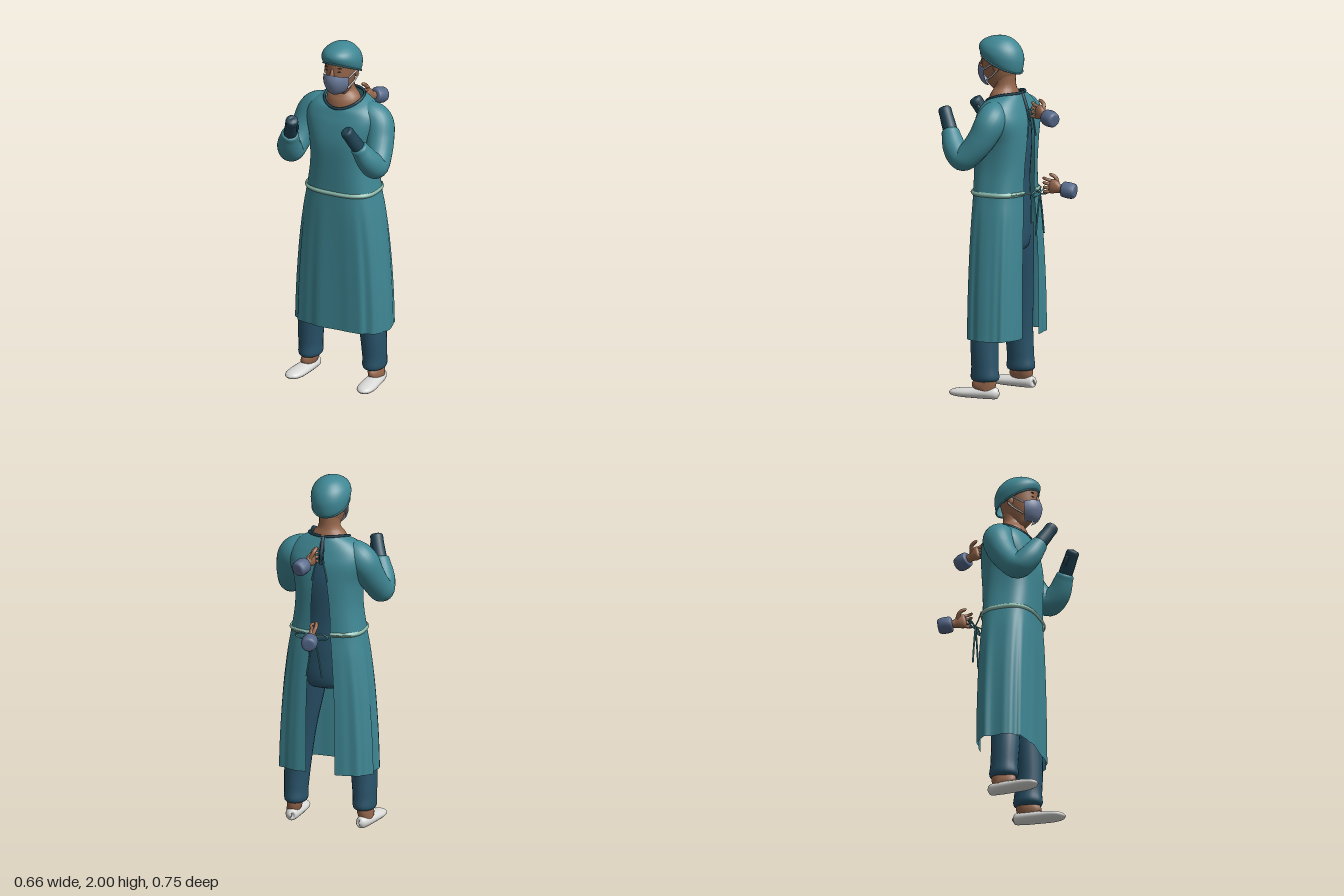
import * as THREE from 'three';

const paint = (name, color, side = THREE.FrontSide) => {
  const m = new THREE.MeshStandardMaterial({ color, side });
  m.name = name;
  return m;
};

// Catmull-Rom through rows of numbers
function spline(keys, n) {
  const rows = [], last = keys.length - 1;
  for (let i = 0; i <= n; i++) {
    const t = (i / n) * last, j = Math.min(Math.floor(t), last - 1), f = t - j;
    const a = keys[Math.max(j - 1, 0)], b = keys[j], c = keys[j + 1], d = keys[Math.min(j + 2, last)];
    rows.push(b.map((v, k) => v + 0.5 * f * (c[k] - a[k] + f * (2 * a[k] - 5 * v + 4 * c[k] - d[k]
      + f * (3 * (v - c[k]) + d[k] - a[k])))));
  }
  return rows;
}

// Surface through rings of points
function skin(rings, closed) {
  const m = rings[0].length, index = [];
  for (let i = 0; i < rings.length - 1; i++) {
    for (let j = 0; j < (closed ? m : m - 1); j++) {
      const k = (j + 1) % m, p = i * m, q = p + m;
      index.push(p + j, p + k, q + k, p + j, q + k, q + j);
    }
  }
  const g = new THREE.BufferGeometry();
  g.setAttribute('position', new THREE.Float32BufferAttribute(rings.flat(2), 3));
  g.setIndex(index);
  g.computeVertexNormals();
  return g;
}

// Elliptical sweep; keys are [x, y, z, radiusA, radiusB]
function sweep(keys, ref = [0, 0, 1], sides = 20, n = keys.length * 6) {
  const rows = spline(keys, n), R = new THREE.Vector3(...ref);
  return skin(rows.map((r, i) => {
    const p = rows[Math.max(i - 1, 0)], q = rows[Math.min(i + 1, n)];
    const T = new THREE.Vector3(q[0] - p[0], q[1] - p[1], q[2] - p[2]).normalize();
    const A = R.clone().cross(T).normalize(), B = T.clone().cross(A);
    return Array.from({ length: sides }, (_, j) => {
      const w = (j / sides) * Math.PI * 2;
      return new THREE.Vector3(r[0], r[1], r[2])
        .addScaledVector(A, Math.max(r[3], 0) * Math.cos(w))
        .addScaledVector(B, Math.max(r[4], 0) * Math.sin(w)).toArray();
    });
  }), true);
}

const cord = (pts, r, ref) => sweep(pts.map(p => [...p, r, r]), ref, 6);
const mirror = (s, keys) => keys.map(([x, ...rest]) => [s * x, ...rest]);

// Cloth open at the back; keys are [y, rx, rz, cz, halfGap, frontDrop, fold, roundness]
function cloth(keys, n, sides = 120) {
  return skin(spline(keys, n).map(([y, rx, rz, cz, gap, drop, fold, round]) => {
    const bend = v => Math.sign(v) * Math.abs(v) ** round;
    const a0 = Math.asin((gap / rx) ** (1 / round));
    return Array.from({ length: sides + 1 }, (_, j) => {
      const a = a0 + (2 * Math.PI - 2 * a0) * j / sides;
      const f = 1 + fold * (Math.sin(11 * a) + 0.6 * Math.sin(19 * a + 1));
      return [-rx * f * bend(Math.sin(a)), y - drop * ((1 - Math.cos(a)) / 2) ** 2, cz - rz * f * bend(Math.cos(a))];
    });
  }), false);
}

export function createModel() {
  const model = new THREE.Group();
  const teal = paint('gown teal', 0x3f8794, THREE.DoubleSide);
  const scrubs = paint('scrubs blue', 0x29536a);
  const dark = paint('glove navy', 0x1f4253);
  const flesh = paint('skin brown', 0x96674c);
  const maskBlue = paint('mask blue', 0x6c7c9c, THREE.DoubleSide);
  const cuffBlue = paint('cuff blue', 0x56698a);
  const white = paint('shoe white', 0xdadad8);
  const sage = paint('tie sage', 0x8dbcae, THREE.DoubleSide);
  const brown = paint('brow brown', 0x5a3c2c);
  const add = (name, geo, mat, parent = model) => {
    const mesh = new THREE.Mesh(geo, mat);
    mesh.name = name;
    parent.add(mesh);
  };
  const ball = (name, mat, pos, size) =>
    add(name, new THREE.SphereGeometry(1, 16, 12).scale(...size).translate(...pos), mat);

  // Gown, belt and collar
  add('gown', cloth([
    [0.33, 0.277, 0.153, 0.05, 0.085, 0, 0.02, 0.64], [0.55, 0.269, 0.153, 0.05, 0.085, 0, 0.018, 0.64],
    [0.8, 0.251, 0.152, 0.051, 0.08, 0, 0.013, 0.65], [1.0, 0.227, 0.15, 0.053, 0.068, 0, 0.006, 0.67],
    [1.13, 0.205, 0.147, 0.055, 0.058, 0, 0, 0.7], [1.28, 0.183, 0.152, 0.055, 0.054, 0, 0, 0.72],
    [1.42, 0.187, 0.157, 0.053, 0.042, 0, 0, 0.72], [1.53, 0.216, 0.146, 0.045, 0.025, 0, 0, 0.74],
    [1.6, 0.208, 0.127, 0.045, 0.016, 0.01, 0, 0.78], [1.655, 0.165, 0.112, 0.05, 0.011, 0.035, 0, 0.86],
    [1.69, 0.112, 0.104, 0.055, 0.008, 0.064, 0, 1],
  ], 60), teal);
  add('belt', cloth([[1.126, 0.208, 0.152, 0.056, 0.058, 0, 0, 0.7], [1.139, 0.215, 0.16, 0.056, 0.058, 0, 0, 0.7],
    [1.152, 0.208, 0.152, 0.056, 0.058, 0, 0, 0.7]], 6), sage);
  const collar = [];
  for (let i = 0; i <= 32; i++) {
    const a = 0.08 + (Math.PI * 2 - 0.16) * i / 32;
    collar.push([0.112 * Math.sin(a), 1.692 - 0.064 * ((1 - Math.cos(a)) / 2) ** 2, 0.055 - 0.104 * Math.cos(a)]);
  }
  add('collar', cord(collar, 0.008, [0, 1, 0]), dark);
  add('backEdging', cord([[0, 1.69, -0.044], [0, 1.655, -0.06], [0, 1.6, -0.078], [0, 1.54, -0.085]], 0.011), dark);

  // Scrubs torso, seen through the open back
  add('scrubsTorso', sweep([[0, 0.8, 0.055, 0, 0], [0, 0.82, 0.055, 0.16, 0.11], [0, 1.0, 0.055, 0.185, 0.125],
    [0, 1.2, 0.055, 0.165, 0.122], [0, 1.42, 0.05, 0.17, 0.13], [0, 1.56, 0.045, 0.16, 0.11],
    [0, 1.62, 0.04, 0.11, 0.085], [0, 1.625, 0.04, 0, 0]], [0, 0, 1], 28), scrubs);

  // Neck, head and face
  add('neck', sweep([[0, 1.6, 0.06, 0.1, 0.09], [0, 1.65, 0.06, 0.102, 0.084], [0, 1.685, 0.058, 0.092, 0.072],
    [0, 1.715, 0.058, 0.066, 0.061], [0, 1.75, 0.06, 0.058, 0.06], [0, 1.82, 0.06, 0.06, 0.062]]), flesh);
  add('head', sweep([[0, 1.715, 0.14, 0, 0], [0, 1.722, 0.137, 0.03, 0.042], [0, 1.745, 0.115, 0.055, 0.078],
    [0, 1.79, 0.1, 0.072, 0.098], [0, 1.85, 0.092, 0.084, 0.107], [0, 1.9, 0.085, 0.088, 0.113],
    [0, 1.95, 0.083, 0.075, 0.095], [0, 1.98, 0.083, 0, 0]], [0, 0, 1], 32), flesh);
  add('nose', sweep([[0, 1.878, 0.186, 0.007, 0.01], [0, 1.85, 0.2, 0.011, 0.012],
    [0, 1.82, 0.206, 0.016, 0.012]]), flesh);
  for (const s of [-1, 1]) {
    ball('ear', flesh, [s * 0.084, 1.832, 0.07], [0.01, 0.026, 0.018]);
    ball('eye', brown, [s * 0.034, 1.86, 0.183], [0.012, 0.005, 0.008]);
    ball('brow', brown, [s * 0.036, 1.882, 0.184], [0.018, 0.003, 0.008]);
    add('maskStrap', cord([[s * 0.076, 1.818, 0.145], [s * 0.091, 1.842, 0.105], [s * 0.095, 1.858, 0.07]], 0.005), white);
    add('maskStrap', cord([[s * 0.066, 1.755, 0.14], [s * 0.082, 1.785, 0.095], [s * 0.092, 1.82, 0.06]], 0.005), white);
  }

  // Face mask
  add('faceMask', skin(spline([[1.72, 0.036, 0.07], [1.74, 0.06, 0.092], [1.78, 0.078, 0.108],
    [1.815, 0.083, 0.11], [1.843, 0.082, 0.101]], 12).map(([y, rx, rz]) => Array.from({ length: 25 }, (_, j) => {
    const a = -1.24 + 2.48 * j / 24;
    return [rx * Math.sin(a), y - 0.03 * (1 - Math.cos(a)) * (y - 1.72) / 0.12, 0.113 + rz * Math.cos(a)];
  })), false), maskBlue);

  // Cap with a rim that dips at the nape
  const around = (h, s) => Array.from({ length: 40 }, (_, j) => {
    const a = j / 40 * Math.PI * 2, c = Math.cos(a), y = 1.852 + 0.055 * c;
    return [0.109 * s * Math.sin(a), y + (2 - y) * h, 0.082 + 0.129 * s * c];
  });
  const dome = [[0, 0.91], [0.16, 0.98], [0.4, 1], [0.65, 0.88], [0.86, 0.6], [0.97, 0.28], [1, 0]];
  add('cap', skin(spline(dome, 30).map(([h, s]) => around(h, s)), true), teal);
  const rim = around(0, 0.925);
  add('capRim', cord([...rim, rim[0]], 0.005, [0, 1, 0]), teal);

  for (const s of [-1, 1]) {
    // Sleeve and gloved hand
    add('sleeve', sweep(mirror(s, [[0.09, 1.59, 0.045, 0.055, 0.055], [0.155, 1.582, 0.04, 0.077, 0.077],
      [0.205, 1.54, 0.04, 0.085, 0.085], [0.232, 1.46, 0.073, 0.079, 0.079], [0.253, 1.385, 0.125, 0.072, 0.072],
      [0.262, 1.343, 0.18, 0.07, 0.07], [0.25, 1.39, 0.235, 0.066, 0.066], [0.226, 1.455, 0.272, 0.053, 0.053],
      [0.214, 1.485, 0.287, 0.043, 0.043], [0.213, 1.487, 0.288, 0, 0]]), [s, 1, 0], 24), teal);
    add('glove', sweep(mirror(s, [[0.222, 1.465, 0.275, 0.038, 0.038], [0.205, 1.505, 0.298, 0.041, 0.037],
      [0.185, 1.555, 0.326, 0.038, 0.035], [0.17, 1.594, 0.347, 0.034, 0.033],
      [0.168, 1.6, 0.35, 0, 0]]), [s, 0, 0], 10), dark);
    add('gloveThumb', sweep(mirror(s, [[0.19, 1.5, 0.29, 0.014, 0.014], [0.166, 1.53, 0.304, 0.014, 0.014],
      [0.156, 1.56, 0.322, 0.011, 0.011], [0.155, 1.57, 0.327, 0, 0]]), [0, 0, 1], 10), dark);
    // Trouser leg
    add('trouserLeg', sweep(mirror(s, [[0.095, 0.95, 0.055, 0.09, 0.11], [0.12, 0.8, 0.06, 0.093, 0.105],
      [0.165, 0.55, 0.072, 0.082, 0.088], [0.192, 0.33, 0.08, 0.074, 0.08], [0.2, 0.18, 0.075, 0.066, 0.078],
      [0.2, 0.105, 0.073, 0.059, 0.078], [0.2, 0.095, 0.073, 0, 0]])), scrubs);
    // Foot and slip-on shoe
    add('foot', sweep(mirror(s, [[0.2, 0.14, 0.05, 0.04, 0.045], [0.205, 0.09, 0.055, 0.04, 0.052],
      [0.211, 0.06, 0.08, 0.037, 0.072], [0.212, 0.04, 0.09, 0.03, 0.06]])), flesh);
    add('shoe', sweep(mirror(s, [[0.2, 0.034, -0.01, 0, 0], [0.202, 0.034, -0.005, 0.026, 0.029],
      [0.208, 0.033, 0.04, 0.041, 0.033], [0.215, 0.03, 0.13, 0.049, 0.03], [0.222, 0.027, 0.21, 0.051, 0.026],
      [0.228, 0.025, 0.262, 0.035, 0.017], [0.23, 0.023, 0.285, 0, 0]]), [0, 1, 0]), white);
    // Ties drawn back from the belt, with loops and tails
    add('beltTie', cord([[s * 0.17, 1.14, -0.07], [s * 0.09, 1.14, -0.112], [0.005, 1.145, -0.165]], 0.004, [0, 1, 0]), sage);
    add('bowLoop', cord([[0.02, 1.145, -0.17], [0.02 + s * 0.05, 1.165, -0.178], [0.02 + s * 0.095, 1.15, -0.176],
      [0.02 + s * 0.06, 1.13, -0.174], [0.02, 1.14, -0.17]], 0.005), teal);
    add('beltTail', cord([[0.01, 1.145, -0.166], [0.01 + s * 0.025, 1.03, -0.166], [0.01 + s * 0.045, 0.91, -0.166]], 0.005), teal);
    add('neckTie', cord([[s * 0.015, 1.6, -0.09], [s * 0.012, 1.58, -0.104], [s * 0.03, 1.52, -0.106],
      [s * 0.045, 1.45, -0.109]], 0.004), teal);
  }

  // Helping hands behind, each with a cuff
  const helper = (name, at, target) => {
    const hand = new THREE.Group();
    hand.name = name;
    add('cuff', sweep([[0, 0, -0.042, 0, 0], [0, 0, -0.04, 0.034, 0.034], [0, 0, -0.018, 0.045, 0.045],
      [0, 0, 0.02, 0.045, 0.045], [0, 0, 0.038, 0.036, 0.036], [0, 0, 0.04, 0, 0]], [0, 1, 0], 12), cuffBlue, hand);
    add('palm', sweep([[0, 0, 0.03, 0.022, 0.024], [0, 0, 0.055, 0.019, 0.025], [0, 0.005, 0.085, 0.02, 0.04],
      [0, 0.005, 0.11, 0.016, 0.037], [0, 0.005, 0.118, 0, 0]], [0, 1, 0], 14), flesh, hand);
    for (let i = 0; i < 4; i++) {
      const y = 0.033 - i * 0.019, reach = 0.15 - i * 0.004;
      add('finger', sweep([[0, y, 0.1, 0.01, 0.01], [0.012, y * 1.25, 0.13, 0.009, 0.009],
        [0.004, y * 1.3, reach, 0.008, 0.008], [-0.006, y * 1.2, reach + 0.008, 0, 0]], [0, 1, 0], 8), flesh, hand);
    }
    add('thumb', sweep([[-0.008, 0.02, 0.07, 0.012, 0.012], [-0.022, 0.052, 0.09, 0.011, 0.011],
      [-0.02, 0.064, 0.12, 0.009, 0.009], [-0.017, 0.065, 0.13, 0, 0]], [0, 1, 0], 8), flesh, hand);
    hand.position.set(...at);
    hand.lookAt(...target);
    model.add(hand);
  };
  helper('upperHelpingHand', [0.052, 1.571, -0.253], [0, 1.602, -0.105]);
  helper('lowerHelpingHand', [-0.022, 1.165, -0.33], [0.006, 1.184, -0.175]);
  return model;
}
